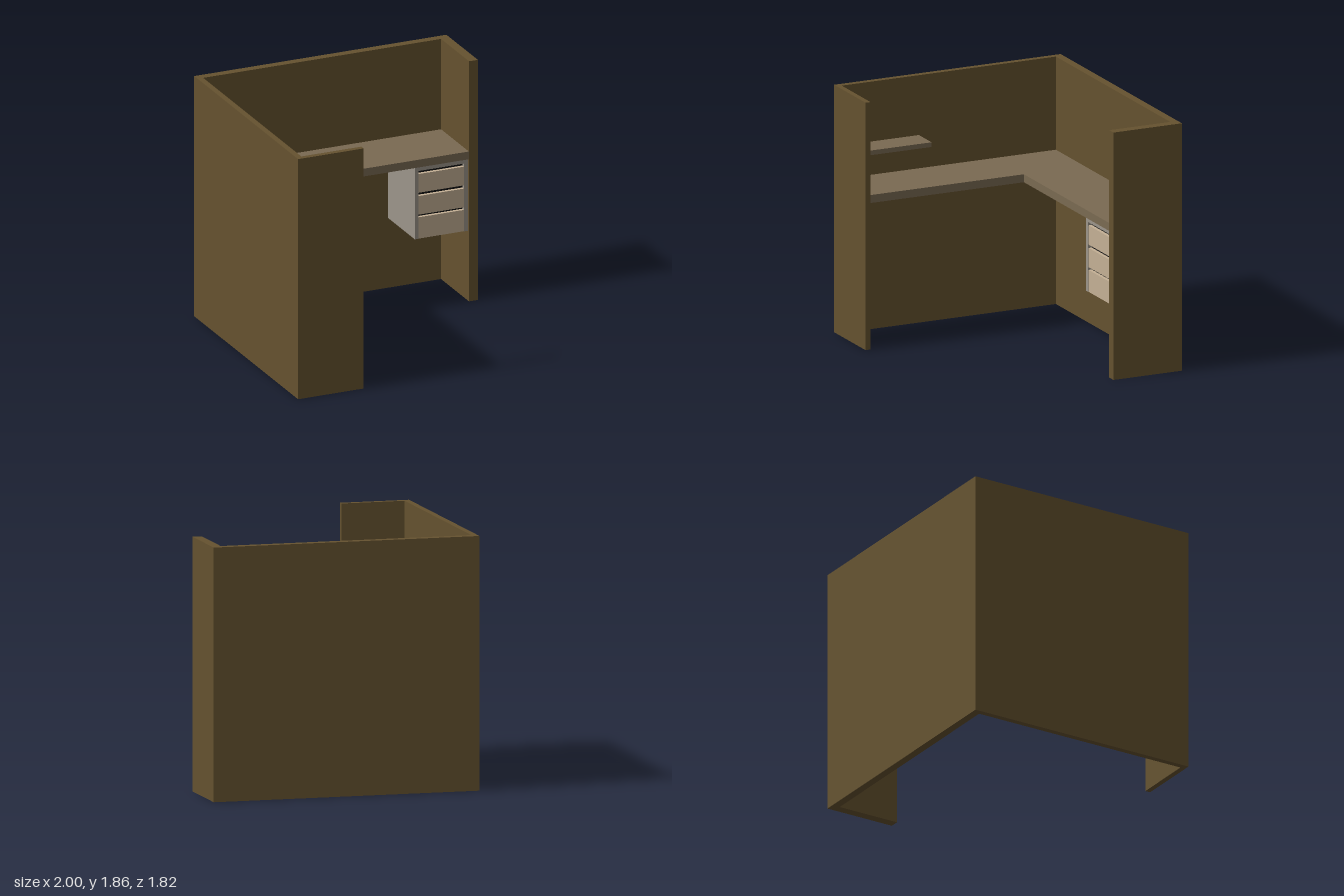
import * as THREE from 'three';

const WALL_HEIGHT = 1.86;
const mat = (color) => new THREE.MeshStandardMaterial({ color });

// Extrude a plan outline of [x, z] points from height y0 up to y1
function slab(name, outline, y0, y1, material) {
  const shape = new THREE.Shape(outline.map(([x, z]) => new THREE.Vector2(x, -z)));
  const geo = new THREE.ExtrudeGeometry(shape, { depth: y1 - y0, bevelEnabled: false });
  geo.rotateX(-Math.PI / 2);
  geo.translate(0, y0, 0);
  const mesh = new THREE.Mesh(geo, material);
  mesh.name = name;
  return mesh;
}

// Box given by its lower and upper limits on each axis
function box(name, [x0, x1], [y0, y1], [z0, z1], material) {
  const mesh = new THREE.Mesh(new THREE.BoxGeometry(x1 - x0, y1 - y0, z1 - z0), material);
  mesh.position.set((x0 + x1) / 2, (y0 + y1) / 2, (z0 + z1) / 2);
  mesh.name = name;
  return mesh;
}

export function createModel() {
  const model = new THREE.Group();
  model.name = 'cubicle';
  const wallMat = mat(0x65522f);
  const deskMat = mat(0x7a6a52);
  const frameMat = mat(0x9c958a);
  const drawerMat = mat(0xc4b095);
  const slotMat = mat(0x101010);

  // Partition walls: short right return, back, left, short front return
  model.add(slab('partitionWalls', [
    [1, -0.36], [1, -0.91], [-1, -0.91], [-1, 0.91], [-0.48, 0.91], [-0.48, 0.87],
    [-0.955, 0.87], [-0.955, -0.85], [0.93, -0.85], [0.93, -0.36],
  ], 0, WALL_HEIGHT, wallMat));

  // L-shaped worktop
  model.add(slab('desktop', [
    [-0.955, -0.85], [0.93, -0.85], [0.93, -0.363], [-0.483, -0.363],
    [-0.483, 0.87], [-0.955, 0.87],
  ], 1.10, 1.16, deskMat));

  // Small shelf on the left wall
  model.add(box('wallShelf', [-0.955, -0.745], [1.375, 1.41], [0.25, 0.87], deskMat));

  // Drawer unit hung under the worktop
  const unit = new THREE.Group();
  unit.name = 'drawerUnit';
  const front = -0.38, back = -0.85;
  unit.add(
    box('unitLeftSide', [0.51, 0.54], [0.54, 1.10], [back, front], frameMat),
    box('unitRightSide', [0.90, 0.93], [0.54, 1.10], [back, front], frameMat),
    box('unitTop', [0.54, 0.90], [1.065, 1.10], [back, front], frameMat),
    box('slotBacking', [0.54, 0.90], [0.56, 1.065], [back, front - 0.03], slotMat),
  );
  // Drawers, each leaving a dark finger slot above
  for (const [y0, y1] of [[0.54, 0.705], [0.725, 0.87], [0.895, 1.04]]) {
    unit.add(box('drawer', [0.54, 0.90], [y0, y1], [back, front - 0.004], drawerMat));
  }
  model.add(unit);

  return model;
}
